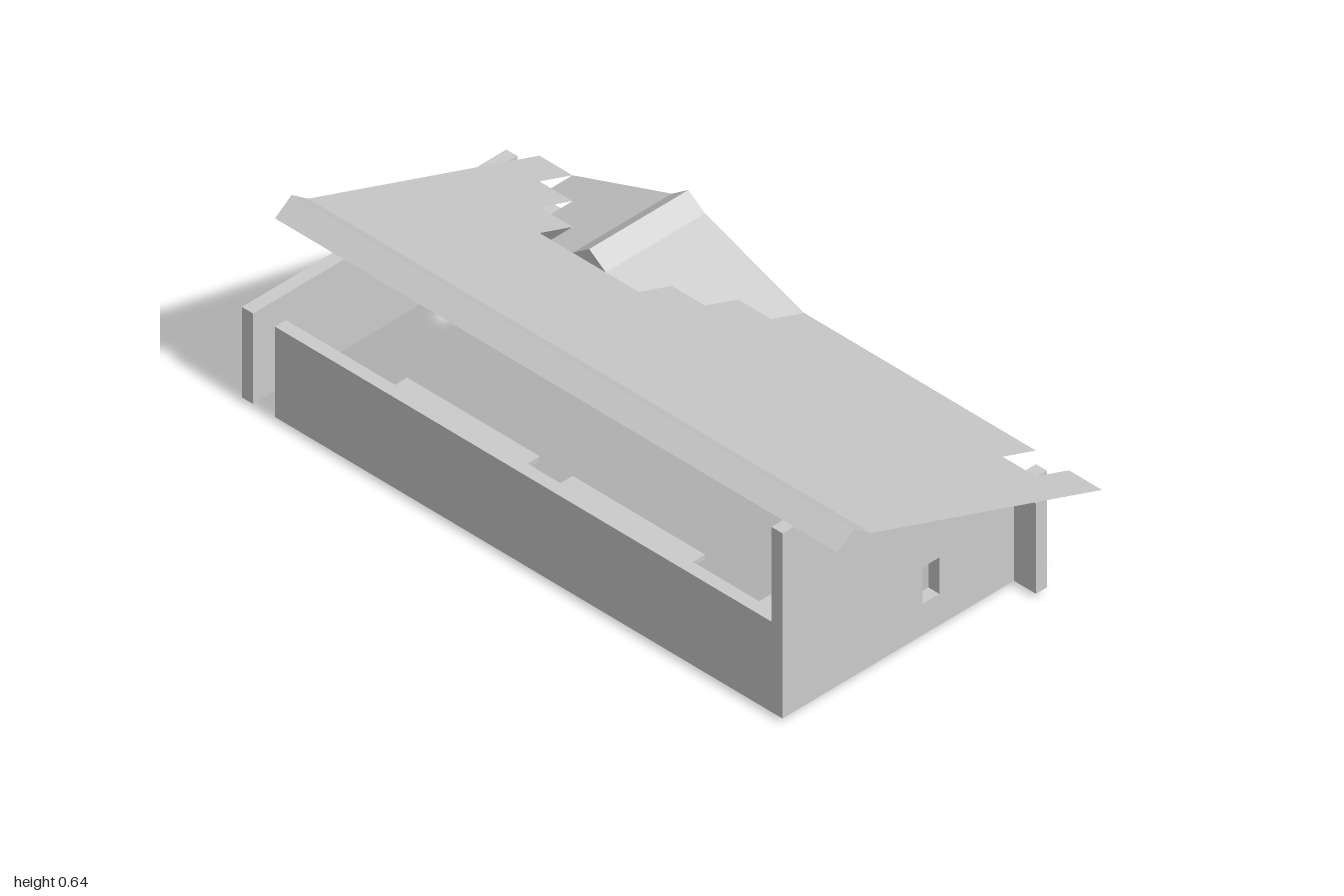
import * as THREE from 'three';

const C = 1 / 9;      // plan module
const T = C / 3;      // wall thickness
const S = 0.04;       // roof drop per module
const BASE = 0.013;   // floor slab height
const EAVE = 0.28;    // low wall top

const solid = new THREE.MeshStandardMaterial({ color: 0xcccccc, flatShading: true });
const sheet = new THREE.MeshStandardMaterial({ color: 0xcccccc, flatShading: true, side: THREE.DoubleSide });

const shapeOf = (pts) => new THREE.Shape(pts.map(([x, y]) => new THREE.Vector2(x, y)));
const rect = (x0, x1, y0, y1) => [[x0, y0], [x1, y0], [x1, y1], [x0, y1]];

function addMesh(parent, name, geometry, material) {
  const mesh = new THREE.Mesh(geometry, material);
  mesh.name = name;
  parent.add(mesh);
  return mesh;
}

// Upright slab from an outline, with an optional window opening
function wallGeometry(outline, window) {
  const shape = shapeOf(outline);
  if (window) shape.holes.push(shapeOf(window));
  return new THREE.ExtrudeGeometry(shape, { depth: T, bevelEnabled: false });
}

// Thin sheet drawn in plan as [x, z] and lifted to the height rule
function sheetGeometry(plan, height) {
  const g = new THREE.ShapeGeometry(shapeOf(plan.map(([x, z]) => [x, -z])));
  g.rotateX(-Math.PI / 2);
  const p = g.attributes.position;
  for (let i = 0; i < p.count; i++) p.setY(i, height(p.getX(i), p.getZ(i)));
  g.computeVertexNormals();
  return g;
}

// Ridge of n modules running along +z from the origin, with a gable plate at every joint
function ridgeCap(name, n) {
  const cap = new THREE.Group();
  cap.name = name;
  for (const side of [-1, 1]) {
    const slope = sheetGeometry(rect(Math.min(0, side * C / 2), Math.max(0, side * C / 2), 0, n * C),
      (x) => S * (1 - Math.abs(x) / (C / 2)));
    addMesh(cap, 'ridgeSlope', slope, sheet);
  }
  const plate = new THREE.ShapeGeometry(shapeOf([[-C / 2, 0], [C / 2, 0], [0, S]]));
  for (let i = 0; i <= n; i++) addMesh(cap, 'ridgePlate', plate, sheet).position.z = i * C;
  return cap;
}

export function createModel() {
  const model = new THREE.Group();
  model.name = 'shed';

  // Front wall with stepped top
  const front = [[-4 * C, BASE], [4 * C, BASE]];
  for (let i = 7; i >= 0; i--) {
    const top = 0.56 - S * i;
    front.push([(i - 3) * C, top], [(i - 4) * C, top]);
  }
  const gableWindow = rect(0.027, 0.083, 0.105, 0.213);
  addMesh(model, 'frontWall', wallGeometry(front, gableWindow), solid).position.z = 7 * C;

  // Back wall
  addMesh(model, 'backWall', wallGeometry(rect(-4 * C, 4 * C, BASE, EAVE), gableWindow), solid)
    .position.z = -9 * C;

  // Side walls, drawn along -z and turned
  const sideWall = (name, x, zFront, zBack, window) => {
    const g = wallGeometry(rect(-zFront, -zBack, BASE, EAVE), window).rotateY(Math.PI / 2);
    addMesh(model, name, g, solid).position.x = x;
  };
  sideWall('tallSideWall', -4 * C, 7 * C, -8 * C);
  sideWall('lowSideFrontWall', 3 * C, 8 * C, 0, rect(-0.42, -0.364, 0.105, 0.213));
  sideWall('lowSideBackWall', 3 * C, -2 * T, -8 * C);

  // Floor slabs: x0, x1, z0, z1 in modules
  for (const [x0, x1, z0, z1] of [[-3, 1, 4, 5], [-2, -1, -2, 2], [-2, -1, -7, -3], [2, 3, -7, -3]]) {
    const g = new THREE.BoxGeometry((x1 - x0) * C, BASE, (z1 - z0) * C);
    addMesh(model, 'floorSlab', g, solid)
      .position.set((x0 + x1) * C / 2, BASE / 2, (z0 + z1) * C / 2);
  }

  // Main roof sheet, stepped around the dormer and notched at the front corner
  const plan = [
    [-3, -8], [4, -8], [4, -7], [3, -7], [3, -6], [2, -6], [2, -5], [1, -5],
    [1, -2], [2, -2], [2, -1], [3, -1], [3, 0], [4, 0],
    [4, 7], [3, 7], [3, 8], [4, 8], [4, 9], [-3, 9],
  ].map(([x, z]) => [x * C, z * C]);
  addMesh(model, 'mainRoof', sheetGeometry(plan, (x) => 0.32 + (4 - x / C) * S), sheet);

  // Main ridge
  const ridge = ridgeCap('mainRidge', 17);
  ridge.position.set(-3.5 * C, 0.6, -8 * C);
  model.add(ridge);

  // Dormer roof: two mirrored stepped slopes and a ridge
  const dormer = new THREE.Group();
  dormer.name = 'dormer';
  const mid = -3.5;
  for (const side of [-1, 1]) {
    const steps = [[1, 0.5], [4, 0.5], [4, 3.5], [3, 3.5], [3, 2.5], [2, 2.5], [2, 1.5], [1, 1.5]]
      .map(([x, d]) => [x * C, (mid + side * d) * C]);
    const height = (x, z) => 0.44 - (Math.abs(z / C - mid) - 0.5) * S;
    addMesh(dormer, 'dormerSlope', sheetGeometry(steps, height), sheet);
  }
  const dormerRidge = ridgeCap('dormerRidge', 3);
  dormerRidge.rotation.y = Math.PI / 2;
  dormerRidge.position.set(C, 0.44, mid * C);
  dormer.add(dormerRidge);
  model.add(dormer);

  return model;
}
